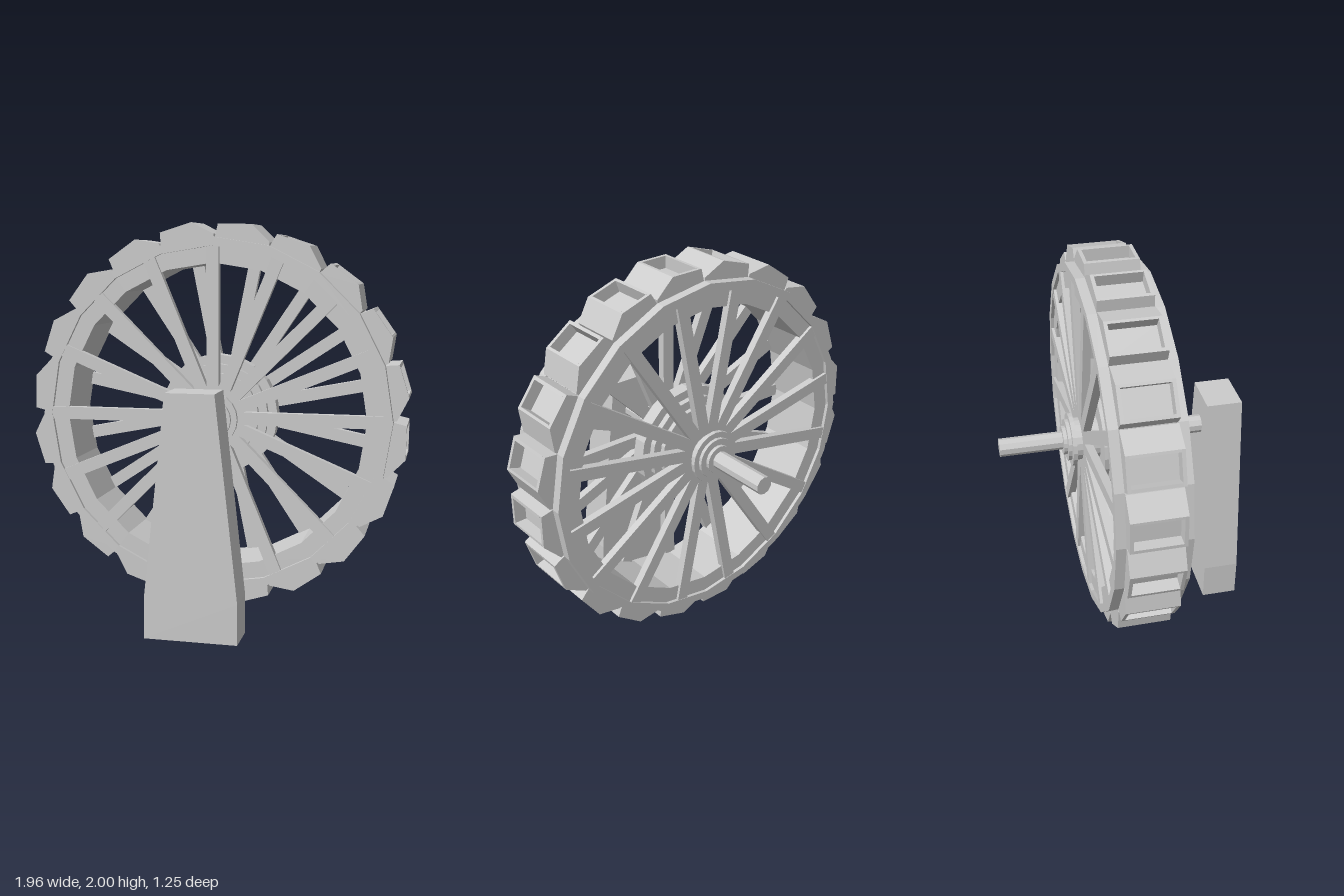
import * as THREE from 'three';

const grey = new THREE.MeshStandardMaterial({ color: 0xcccccc, flatShading: true });
const SIDES = 20, SPOKES = 16;

function add(parent, name, geometry) {
  const mesh = new THREE.Mesh(geometry, grey);
  mesh.name = name;
  parent.add(mesh);
  return mesh;
}

// Solid of revolution about z; profile is [radius, z] pairs
function turned(profile, sides) {
  const points = profile.map(([r, z]) => new THREE.Vector2(r, z));
  return new THREE.LatheGeometry(points, sides).rotateX(Math.PI / 2);
}

// Extrusion between two z positions
function slab(points, z0, z1) {
  const shape = new THREE.Shape(points.map(([x, y]) => new THREE.Vector2(x, y)));
  return new THREE.ExtrudeGeometry(shape, { depth: z1 - z0, bevelEnabled: false }).translate(0, 0, z0);
}

const polar = ([deg, r]) => {
  const a = THREE.MathUtils.degToRad(deg);
  return [r * Math.cos(a), r * Math.sin(a)];
};

// Ring with a rectangular section
const ring = (r0, r1, z0, z1) => turned([[r0, z0], [r1, z0], [r1, z1], [r0, z1], [r0, z0]], SIDES);

export function createModel() {
  const model = new THREE.Group();
  model.name = 'waterWheel';

  // Tapered support in front of the wheel
  add(model, 'supportPillar', slab(
    [[-0.23, 0], [0.23, 0], [0.23, 0.2], [0.12, 1.2], [-0.12, 1.2], [-0.23, 0.2]], 0.44, 0.625));

  const wheel = new THREE.Group();
  wheel.name = 'wheel';
  wheel.position.set(0, 1.02, -0.025);
  model.add(wheel);

  // Axle runs from the pillar through to the back
  add(wheel, 'axle', turned([[0, -0.597], [0.047, -0.597], [0.047, 0.48], [0, 0.48]], 10));

  // Drum with a raised lip on each face
  add(wheel, 'drum', ring(0.78, 0.875, -0.165, 0.165));
  for (const s of [-1, 1]) {
    const edges = [s * 0.135, s * 0.183].sort((a, b) => a - b);
    add(wheel, s > 0 ? 'frontLip' : 'backLip', ring(0.865, 0.908, ...edges));
  }
  add(wheel, 'bucketBed', ring(0.86, 0.895, -0.136, 0.136));

  // Stepped disc on the axle between the two spoke sets
  add(wheel, 'centreHub', turned([
    [0, -0.165], [0.11, -0.165], [0.11, -0.09], [0.22, -0.09], [0.22, -0.065], [0.265, -0.065],
    [0.265, -0.035], [0.31, -0.035], [0.31, 0.035], [0.265, 0.035], [0.265, 0.065], [0.22, 0.065],
    [0.22, 0.09], [0.11, 0.09], [0.11, 0.165], [0, 0.165]], SIDES));

  // Stepped collars and spokes, the back set turned by half a step
  for (const s of [1, -1]) {
    const side = new THREE.Group();
    side.name = s > 0 ? 'frontSide' : 'backSide';
    if (s < 0) side.rotation.y = Math.PI;
    wheel.add(side);
    add(side, 'collar', turned([
      [0, 0.14], [0.11, 0.14], [0.11, 0.213], [0.138, 0.213], [0.138, 0.235], [0.108, 0.235],
      [0.108, 0.253], [0.075, 0.253], [0.075, 0.272], [0, 0.272]], SIDES));
    for (let i = 0; i < SPOKES; i++) {
      const spoke = add(side, 'spoke', new THREE.BoxGeometry(0.82, 0.064, 0.04).translate(0.455, 0, 0.16));
      spoke.rotation.z = (i + (s < 0 ? 0.5 : 0)) * 2 * Math.PI / SPOKES;
    }
  }

  // Skewed buckets: closed cheeks at the ends, an open pocket between them
  const back = [[72, 0.88], [72.3, 0.923], [79, 0.988]];
  const front = [[89, 0.972], [90, 0.9], [90, 0.88]];
  const cheek = [...back, ...front].map(polar).reverse();
  const trough = [...back, [79.8, 0.986], [79.2, 0.925], [88, 0.91], [88, 0.973], ...front]
    .map(polar).reverse();
  const cheekA = slab(cheek, -0.135, -0.117);
  const cheekB = slab(cheek, 0.117, 0.135);
  const pocket = slab(trough, -0.117, 0.117);
  for (let i = 0; i < SIDES; i++) {
    const bucket = new THREE.Group();
    bucket.name = 'bucket';
    bucket.rotation.z = i * 2 * Math.PI / SIDES;
    add(bucket, 'bucketCheek', cheekA);
    add(bucket, 'bucketCheek', cheekB);
    add(bucket, 'bucketPocket', pocket);
    wheel.add(bucket);
  }
  return model;
}
